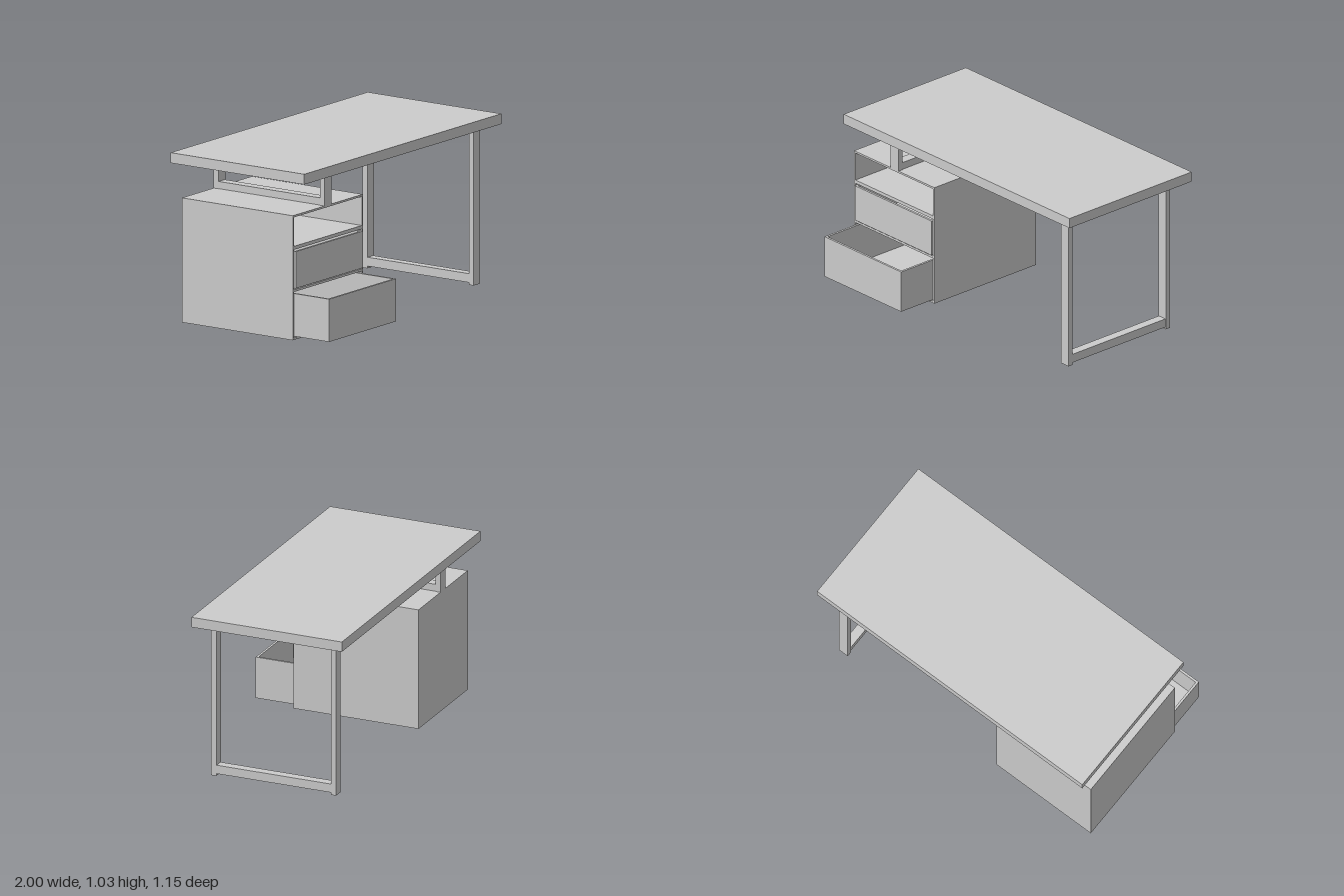
import * as THREE from 'three';

const grey = new THREE.MeshStandardMaterial({ color: 0xcccccc });

// Box given by its minimum and maximum on each axis
function box(name, parent, [x0, x1], [y0, y1], [z0, z1]) {
  const mesh = new THREE.Mesh(new THREE.BoxGeometry(x1 - x0, y1 - y0, z1 - z0), grey);
  mesh.position.set((x0 + x1) / 2, (y0 + y1) / 2, (z0 + z1) / 2);
  mesh.name = name;
  parent.add(mesh);
  return mesh;
}

function group(name, parent) {
  const g = new THREE.Group();
  g.name = name;
  parent.add(g);
  return g;
}

function trace(path, x0, x1, y0, y1) {
  path.moveTo(x0, y0);
  path.lineTo(x1, y0);
  path.lineTo(x1, y1);
  path.lineTo(x0, y1);
  path.closePath();
  return path;
}

const FRONT = 0.322, BACK = -0.495, TOP_BOTTOM = 0.968;

// Two flat posts joined by a low crossbar
function legFrame(name, parent, x, footY, barY) {
  const g = group(name, parent);
  box('frontPost', g, x, [footY, TOP_BOTTOM], [0.289, FRONT]);
  box('backPost', g, x, [footY, TOP_BOTTOM], [BACK, -0.461]);
  box('crossbar', g, [x[0] + 0.004, x[1] - 0.004], barY, [-0.461, 0.289]);
}

// Open-topped drawer made from five thin panels
function drawer(name, parent, y, frontZ) {
  const g = group(name, parent);
  const x0 = -0.983, x1 = -0.303, t = 0.014, z0 = frontZ - 0.79;
  box('drawerFront', g, [x0, x1], y, [frontZ - t, frontZ]);
  box('drawerBack', g, [x0, x1], y, [z0, z0 + t]);
  box('drawerLeftSide', g, [x1 - t, x1], y, [z0 + t, frontZ - t]);
  box('drawerRightSide', g, [x0, x0 + t], y, [z0 + t, frontZ - t]);
  box('drawerFloor', g, [x0 + t, x1 - t], [y[0], y[0] + t], [z0 + t, frontZ - t]);
}

export function createModel() {
  const desk = new THREE.Group();
  desk.name = 'desk';

  box('desktop', desk, [-1, 1], [TOP_BOTTOM, 1.031], [-0.578, 0.406]);

  // Full-height frame on one side, short frame standing on the cabinet
  legFrame('legFrame', desk, [0.834, 0.9], 0, [0.013, 0.067]);
  legFrame('cabinetFrame', desk, [-0.677, -0.606], 0.76, [0.76, 0.81]);

  // Cabinet shell with three compartments: open shelf and two drawer bays
  const cabinet = group('cabinet', desk);
  const face = trace(new THREE.Shape(), -1, -0.289, 0.005, 0.766);
  for (const [y0, y1] of [[0.577, 0.754], [0.312, 0.556], [0.017, 0.298]]) {
    face.holes.push(trace(new THREE.Path(), -0.988, -0.299, y0, y1));
  }
  const backFront = BACK + 0.012;
  const shell = new THREE.Mesh(
    new THREE.ExtrudeGeometry(face, { depth: FRONT - backFront, bevelEnabled: false }), grey);
  shell.position.z = backFront;
  shell.name = 'cabinetShell';
  cabinet.add(shell);
  box('cabinetBack', cabinet, [-1, -0.289], [0.005, 0.766], [BACK, backFront]);

  // Middle drawer closed, bottom drawer pulled out
  drawer('middleDrawer', cabinet, [0.32, 0.545], 0.332);
  drawer('bottomDrawer', cabinet, [0.026, 0.287], 0.577);

  return desk;
}
